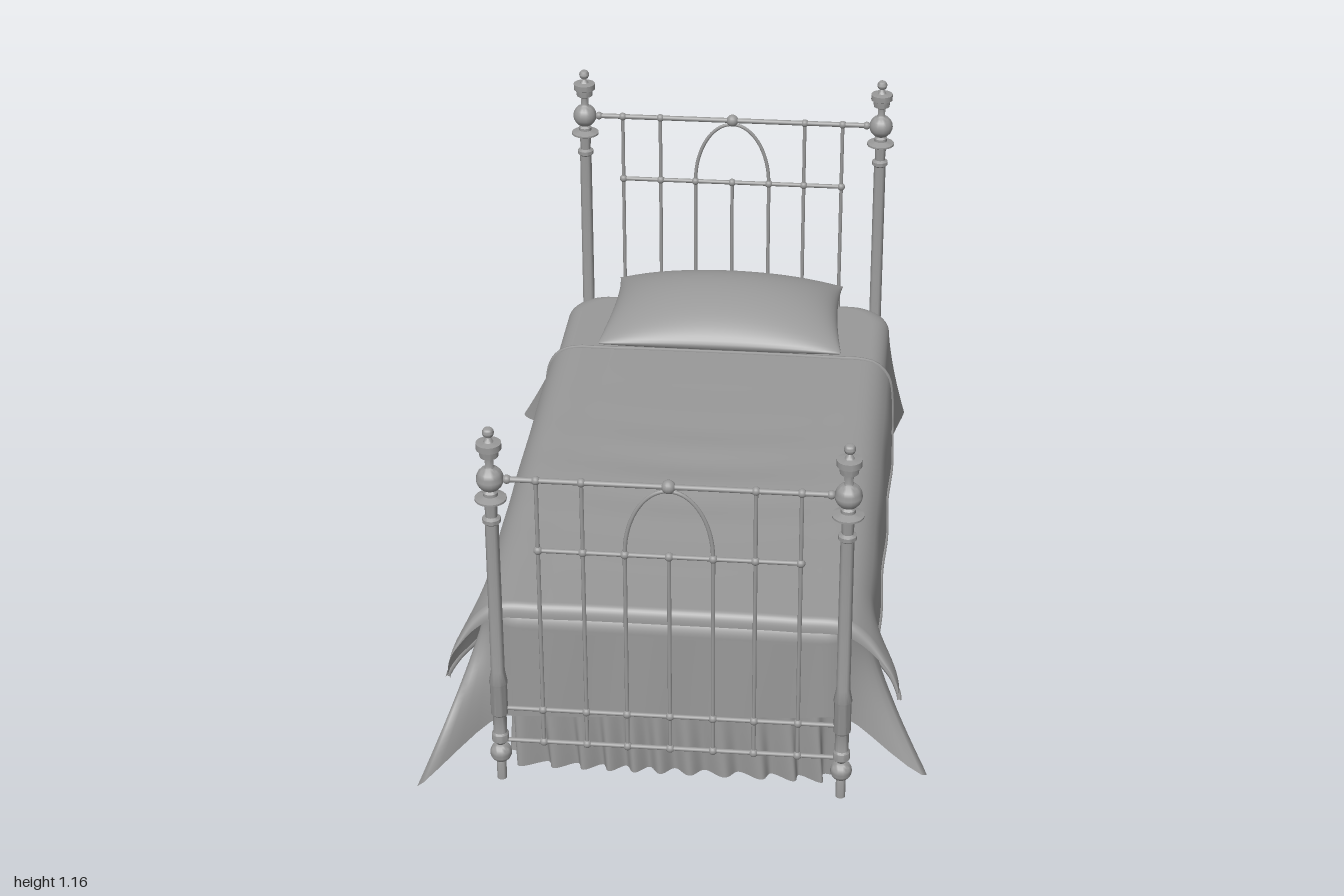
import * as THREE from 'three';
import { toCreasedNormals } from 'three/addons/utils/BufferGeometryUtils.js';
import { ParametricGeometry } from 'three/addons/geometries/ParametricGeometry.js';

const solid = new THREE.MeshStandardMaterial({ color: 0x999999 });
const cloth = new THREE.MeshStandardMaterial({ color: 0x999999, side: THREE.DoubleSide });
const { lerp, smoothstep, clamp } = THREE.MathUtils;

function add(parent, name, geometry, material = solid, x = 0, y = 0, z = 0) {
  const mesh = new THREE.Mesh(geometry, material);
  mesh.name = name;
  mesh.position.set(x, y, z);
  parent.add(mesh);
  return mesh;
}

// Profile points of a turned ball
function ball(y, r, steps = 8) {
  return Array.from({ length: steps + 1 }, (_, i) => {
    const a = lerp(-1.2, 1.2, i / steps);
    return [r * Math.cos(a), y + r * Math.sin(a)];
  });
}

// Turned post with its top at height t
function postGeometry(t) {
  const profile = [
    [0, 0], [0.012, 0], [0.012, 0.045], ...ball(0.078, 0.027), [0.014, 0.108],
    [0.021, 0.115], [0.021, 0.135], [0.017, 0.14], [0.017, 0.19], [0.021, 0.195],
    [0.021, 0.28], [0.023, 0.285], [0.017, 0.32], [0.0165, t - 0.26],
    [0.022, t - 0.255], [0.022, t - 0.245], [0.014, t - 0.24], [0.016, t - 0.205],
    [0.038, t - 0.194], [0.038, t - 0.189], [0.018, t - 0.182], [0.018, t - 0.174],
    ...ball(t - 0.138, 0.033), [0.01, t - 0.102], [0.011, t - 0.083], [0.022, t - 0.077],
    [0.024, t - 0.06], [0.03, t - 0.057], [0.03, t - 0.041], [0.012, t - 0.038],
    [0.007, t - 0.03], ...ball(t - 0.014, 0.014), [0, t],
  ];
  const points = profile.map(([r, y]) => new THREE.Vector2(r, y));
  return toCreasedNormals(new THREE.LatheGeometry(points, 24), 0.7);
}

// Metal end frame: two posts, rails, bars, arch and joint balls
function endFrame(name, t, z) {
  const frame = new THREE.Group();
  frame.name = name;
  frame.position.z = z;
  const top = t - 0.138, mid = t - 0.33, low = 0.21, bottom = 0.115;
  const joint = (x, y, r = 0.011) =>
    add(frame, 'jointBall', new THREE.SphereGeometry(r, 14, 10), solid, x, y);
  const rail = (y, half, r = 0.006) => {
    add(frame, 'rail', new THREE.CylinderGeometry(r, r, half * 2, 10), solid, 0, y)
      .rotation.z = Math.PI / 2;
  };
  for (const s of [-1, 1]) {
    add(frame, 'post', postGeometry(t), solid, s * 0.42);
    joint(s * 0.38, top);
  }
  rail(top, 0.42, 0.007);
  rail(mid, 0.312);
  rail(low, 0.41);
  rail(bottom, 0.41);
  joint(0, top, 0.017);
  for (const x of [-0.312, -0.205, -0.105, 0, 0.105, 0.205, 0.312]) {
    const end = Math.abs(x) > 0.2 ? top : mid;
    add(frame, 'bar', new THREE.CylinderGeometry(0.005, 0.005, end - bottom, 8),
      solid, x, (end + bottom) / 2);
    for (const y of [bottom, low, mid]) joint(x, y);
    if (end === top) joint(x, top);
  }
  const arch = [];
  for (let i = 0; i <= 16; i++) {
    const a = Math.PI * i / 16;
    arch.push(new THREE.Vector3(0.105 * Math.cos(a), mid + 0.18 * Math.sin(a), 0));
  }
  add(frame, 'arch', new THREE.TubeGeometry(new THREE.CatmullRomCurve3(arch), 40, 0.005, 8));
  return frame;
}

// Outline of a rounded rectangle, centred on the origin
function roundedRect(hx, hz, r) {
  const s = new THREE.Shape();
  s.moveTo(hx, 0);
  s.absarc(hx - r, hz - r, r, 0, Math.PI / 2);
  s.absarc(r - hx, hz - r, r, Math.PI / 2, Math.PI);
  s.absarc(r - hx, r - hz, r, Math.PI, Math.PI * 1.5);
  s.absarc(hx - r, r - hz, r, Math.PI * 1.5, Math.PI * 2);
  s.closePath();
  return s;
}

// Under blanket: flat top, rounded edge, hanging sides and a loose flap beside each post
function blanketGeometry() {
  const hx = 0.465, hz = 0.86, cz = -0.025, round = 0.05, topY = 0.477;
  const rim = roundedRect(hx, hz, 0.1);
  const flaps = { '1,1': [0.15, 0.09], '-1,1': [-0.13, 0.25], '-1,-1': [-0.15, -0.1], '1,-1': [0.04, -0.215] };
  return new ParametricGeometry((u, v, out) => {
    const p = rim.getPoint(u % 1);
    const sx = Math.sign(p.x) || 1, sz = Math.sign(p.y) || 1;
    const k = v < 0.2 ? lerp(0.002, 1, v / 0.2) : 1;
    const a = clamp((v - 0.2) / 0.2, 0, 1) * Math.PI / 2;
    const s = Math.max(0, (v - 0.4) / 0.6);
    const inset = round * (1 - Math.sin(a));
    const isEnd = smoothstep(Math.abs(p.y), hz - 0.1, hz);
    const reach = Math.hypot(hx - Math.abs(p.x), hz - 0.09 - Math.abs(p.y));
    const flap = Math.exp(-((reach / 0.11) ** 2)) * (1 - isEnd);
    const endHem = sz > 0 ? 0.19 + 0.06 * p.x : 0.21;
    const hem = lerp(lerp(0.145, endHem, isEnd), 0.05, flap);
    const wave = 0.004 * s * Math.sin(p.x * 26 + p.y * 19);
    const [fx, fz] = flaps[`${sx},${sz}`];
    const f = flap * s ** 1.3;
    const y0 = topY - round * (1 - Math.cos(a));
    out.set(
      p.x * k * (hx - inset) / hx + sx * (1 - isEnd) * (0.012 * s + wave) + fx * f,
      lerp(y0, hem + wave * isEnd, s),
      cz + p.y * k * (hz - inset) / hz + sz * isEnd * wave + fz * f,
    );
  }, 320, 40);
}

// Top cover: a section across the bed carried from the pillow to the foot
const coverSection = new THREE.CatmullRomCurve3([
  [-0.492, 0.285], [-0.488, 0.38], [-0.472, 0.455], [-0.43, 0.495], [-0.3, 0.503], [0, 0.505],
  [0.3, 0.503], [0.43, 0.495], [0.472, 0.455], [0.488, 0.38], [0.492, 0.285],
].map(([x, y]) => new THREE.Vector3(x, y, 0)));

function coverPoint(u, v, out) {
  coverSection.getPoint(u, out);
  const drop = smoothstep(0.5 - out.y, 0, 0.2);
  const z = lerp(-0.48, 0.83, Math.min(1, v / 0.9));
  const lip = Math.max(0, (v - 0.9) / 0.1);
  const foot = smoothstep(z, 0.62, 0.83);
  const crease = 0.003 * Math.sin(z * 32 + out.x * out.x * 12) * Math.exp(-((z - 0.2) ** 2) * 12)
    * Math.exp(-out.x * out.x * 12);
  out.x += Math.sign(out.x) * drop * ((out.x > 0 ? 0.06 : 0.045) * foot + 0.003 * Math.sin(z * 17));
  out.y += crease + 0.02 * foot * drop - 0.035 * lip * lip * (1 - drop);
  out.z = z + 0.022 * Math.sin(lip * Math.PI / 2) + 0.03 * foot * drop;
  return out;
}

// Stitched hem following the cover's sides and head edge
function coverHemGeometry() {
  const points = [], put = (u, v) => points.push(coverPoint(u, v, new THREE.Vector3()));
  for (let i = 0; i < 20; i++) put(0, 1 - i / 20);
  for (let i = 0; i <= 30; i++) put(i / 30, 0);
  for (let i = 1; i <= 20; i++) put(1, i / 20);
  return new THREE.TubeGeometry(new THREE.CatmullRomCurve3(points), 200, 0.006, 6);
}

// Pleated skirt around the base
function skirtGeometry() {
  const hx = 0.4, hz = 0.84, rim = roundedRect(hx, hz, 0.04);
  return new ParametricGeometry((u, v, out) => {
    const p = rim.getPoint(u % 1);
    const a = u * Math.PI * 2;
    const fold = 0.014 * (0.3 + 0.7 * v) * Math.sin(a * 68 + 1.5 * Math.sin(a * 9) + v * 1.2);
    out.set(p.x * (1 + fold / hx), lerp(0.22, 0.012, v), -0.025 + p.y * (1 + fold / hz));
  }, 900, 6);
}

// Pillow: two domes meeting at a seam, sides drawn in between the corners
function pillowGeometry(height, power) {
  return new ParametricGeometry((u, v, out) => {
    const a = Math.sin((u - 0.5) * Math.PI), b = Math.sin((v - 0.5) * Math.PI);
    const dome = Math.max(0, 1 - a * a) ** 0.45 * Math.max(0, 1 - b * b) ** power;
    out.set(
      a * (0.318 + 0.015 * b * b + 0.008 * b),
      0.518 + height * dome,
      -0.685 + b * (0.197 + 0.012 * a * a) - 0.03 * (1 - b * b),
    );
  }, 36, 28);
}

export function createModel() {
  const bed = new THREE.Group();
  bed.name = 'bed';
  bed.add(endFrame('headboard', 1.165, -0.895), endFrame('footboard', 0.998, 0.86));
  add(bed, 'mattress', new THREE.BoxGeometry(0.8, 0.25, 1.66), solid, 0, 0.33, -0.025);
  add(bed, 'skirt', skirtGeometry(), cloth);
  add(bed, 'underBlanket', blanketGeometry(), cloth);
  add(bed, 'topCover', new ParametricGeometry(coverPoint, 90, 90), cloth);
  add(bed, 'coverHem', coverHemGeometry());
  const pillow = new THREE.Group();
  pillow.name = 'pillow';
  add(pillow, 'pillowTop', pillowGeometry(0.097, 0.65), cloth);
  add(pillow, 'pillowBottom', pillowGeometry(-0.04, 0.35), cloth);
  bed.add(pillow);
  return bed;
}
